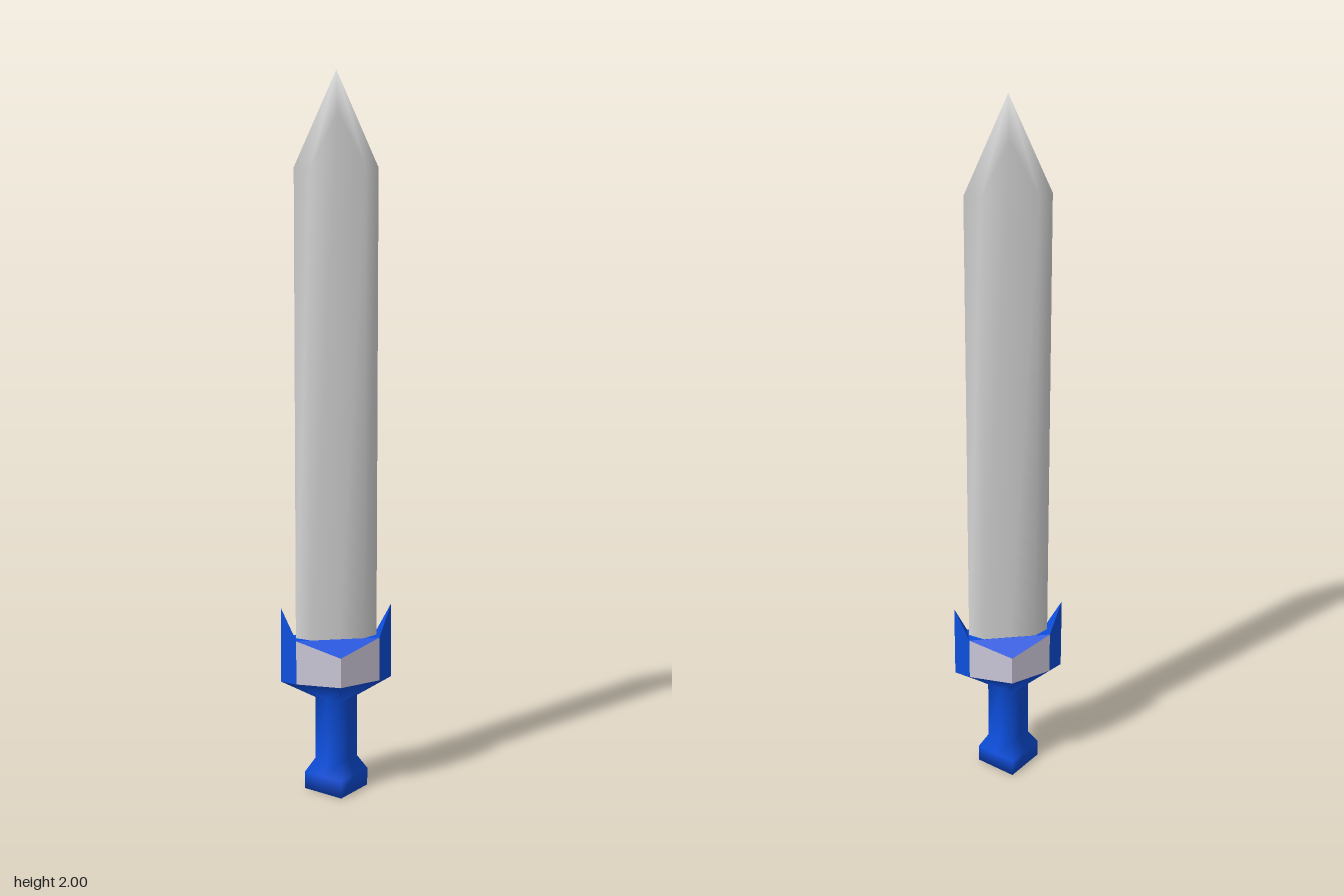
import * as THREE from 'three';

// Eight points running from +x towards +z, from three quarter points [x, y, z]
function ring([side, corner, front]) {
  const flip = ([x, y, z], sx, sz) => [x * sx, y, z * sz];
  return [
    side, corner, front, flip(corner, -1, 1),
    flip(side, -1, 1), flip(corner, -1, -1), flip(front, 1, -1), flip(corner, 1, -1),
  ];
}

// Diamond ring whose corners lie on the x and z axes
const diamond = (r, y) => ring([[r, y, 0], [r / 2, y, r / 2], [0, y, r]]);

// Smooth skin over stacked rings, optionally closed to a point at each end
function loft(rings, bottom, top) {
  const points = rings.flat(), index = [], n = 8;
  for (let r = 0; r < rings.length - 1; r++) {
    for (let i = 0; i < n; i++) {
      const a = r * n + i, a2 = r * n + (i + 1) % n;
      index.push(a, a + n, a2, a + n, a2 + n, a2);
    }
  }
  if (bottom) {
    const c = points.push(bottom) - 1;
    for (let i = 0; i < n; i++) index.push(c, i, (i + 1) % n);
  }
  if (top) {
    const c = points.push(top) - 1, o = (rings.length - 1) * n;
    for (let i = 0; i < n; i++) index.push(c, o + (i + 1) % n, o + i);
  }
  const geo = new THREE.BufferGeometry();
  geo.setAttribute('position', new THREE.Float32BufferAttribute(points.flat(), 3));
  geo.setIndex(index);
  geo.computeVertexNormals();
  return geo;
}

// Flat-faced geometry from a list of triangles
function facets(triangles) {
  const geo = new THREE.BufferGeometry();
  geo.setAttribute('position', new THREE.Float32BufferAttribute(triangles.flat(2), 3));
  geo.computeVertexNormals();
  return geo;
}

export function createModel() {
  const group = new THREE.Group();
  const material = (name, color) => {
    const m = new THREE.MeshStandardMaterial({ color });
    m.name = name;
    return m;
  };
  const steel = material('steel', 0xdadada);
  const blue = material('blue', 0x0d50e0);
  const silver = material('pale silver', 0xd2cee0);

  const add = (name, geo, mat) => {
    const mesh = new THREE.Mesh(geo, mat);
    mesh.name = name;
    group.add(mesh);
  };

  // Blade: bevelled edges, flat faces rising to a ridge below the tip
  const bladeRing = (y, yMid) => ring([[0.115, y, 0], [0.075, y, 0.03], [0, yMid, 0.03]]);
  add('blade', loft([bladeRing(0.4, 0.4), bladeRing(1.745, 1.89)], [0, 0.4, 0], [0, 2, 0]), steel);

  // Guard outline, with its upper edge rising into a spike at each side
  const guardRing = (ySide, yCorner, yFront) =>
    ring([[0.157, ySide, 0], [0.118, yCorner, 0.031], [0, yFront, 0.082]]);
  const low = guardRing(0.32, 0.32, 0.32);
  const high = guardRing(0.535, 0.445, 0.405);

  // Pommel, grip and flaring underside of the guard
  add('handle', loft([
    diamond(0.09, 0), diamond(0.09, 0.05), diamond(0.06, 0.09), diamond(0.06, 0.27), low,
  ], [0, 0, 0]), blue);

  // Guard walls: blue spikes at the sides, pale plates front and back
  const walls = (sides) => sides.flatMap((i) => {
    const j = (i + 1) % 8;
    return [[low[i], high[i], low[j]], [high[i], high[j], low[j]]];
  });
  const cap = [[1, 0, 7], [5, 4, 3], [3, 2, 1], [7, 6, 5], [1, 7, 5], [1, 5, 3]]
    .map((t) => t.map((i) => high[i]));
  add('guard', facets([...walls([0, 3, 4, 7]), ...cap]), blue);
  add('guardPlates', facets(walls([1, 2, 5, 6])), silver);

  return group;
}
